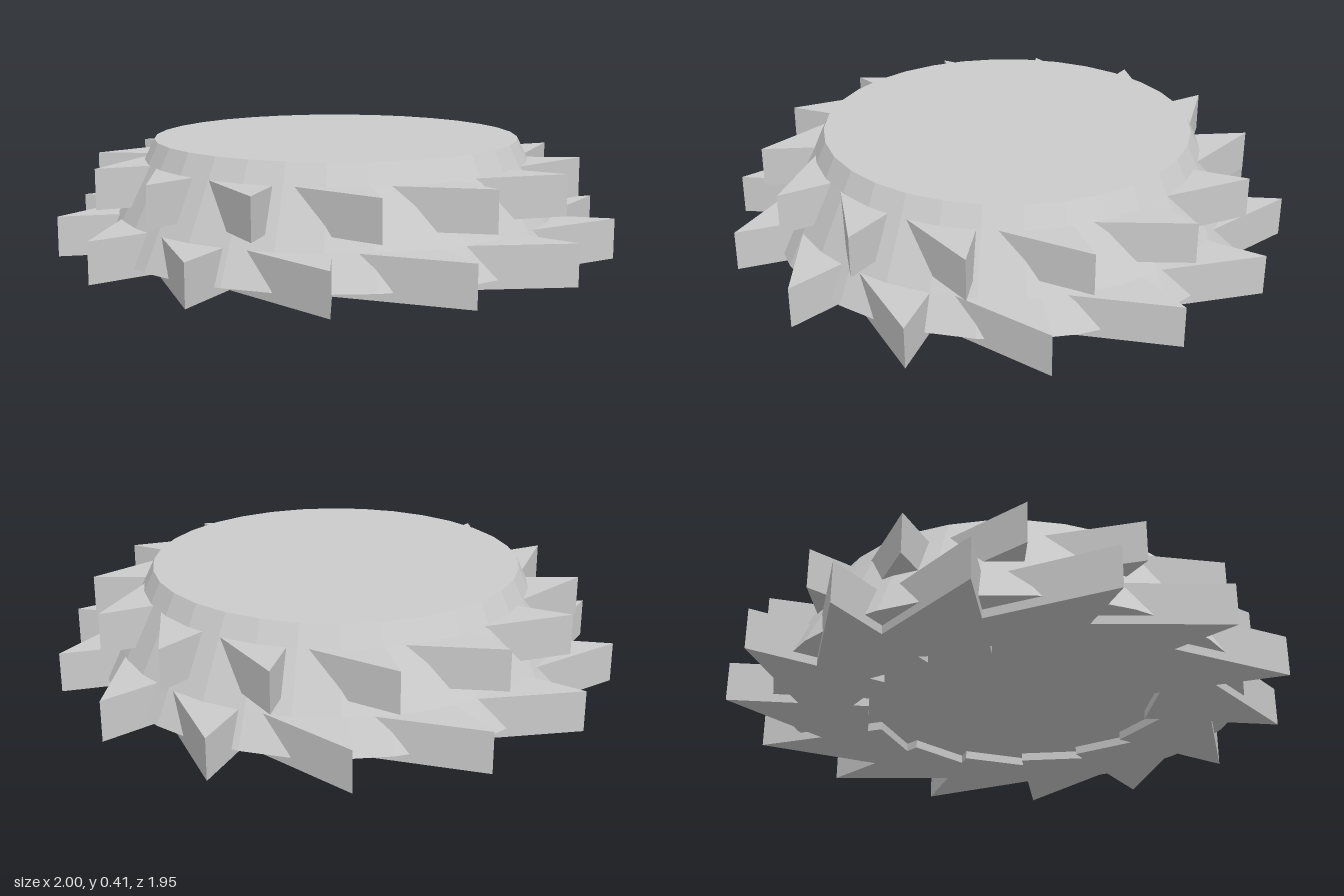
import * as THREE from 'three';

const TEETH = 14;
const material = new THREE.MeshStandardMaterial({ color: 0xcccccc, flatShading: true });

// Ring of right-triangle prisms: one edge radial, the other sloping back at 45 degrees
function toothRing(name, tip, leg, bottom, top, offsetDegrees) {
  const ring = new THREE.Group();
  ring.name = name;
  const inner = tip - leg;
  const shape = new THREE.Shape([
    new THREE.Vector2(tip, 0),
    new THREE.Vector2(inner, leg),
    new THREE.Vector2(inner, 0),
  ]);
  const geometry = new THREE.ExtrudeGeometry(shape, { depth: top - bottom, bevelEnabled: false });
  geometry.rotateX(Math.PI / 2); // shape y becomes +z, depth goes down
  geometry.translate(0, top, 0);
  for (let i = 0; i < TEETH; i++) {
    const tooth = new THREE.Mesh(geometry, material);
    tooth.name = 'tooth';
    tooth.rotation.y = -(THREE.MathUtils.degToRad(offsetDegrees) + (i / TEETH) * Math.PI * 2);
    ring.add(tooth);
  }
  return ring;
}

export function createModel() {
  const model = new THREE.Group();
  model.name = 'cutterHead';

  // Tapered solid body, closed at both ends
  const profile = [[0, 0.03], [0.84, 0.03], [0.785, 0.145], [0.69, 0.333], [0.655, 0.405], [0, 0.405]]
    .map(([r, y]) => new THREE.Vector2(r, y));
  const body = new THREE.Mesh(new THREE.LatheGeometry(profile, 32), material);
  body.name = 'taperedBody';
  model.add(body);

  // Two staggered rows of cutting teeth
  model.add(toothRing('lowerTeeth', 1, 0.5, 0, 0.143, 0));
  model.add(toothRing('upperTeeth', 0.88, 0.44, 0.19, 0.332, 15.8));

  return model;
}
